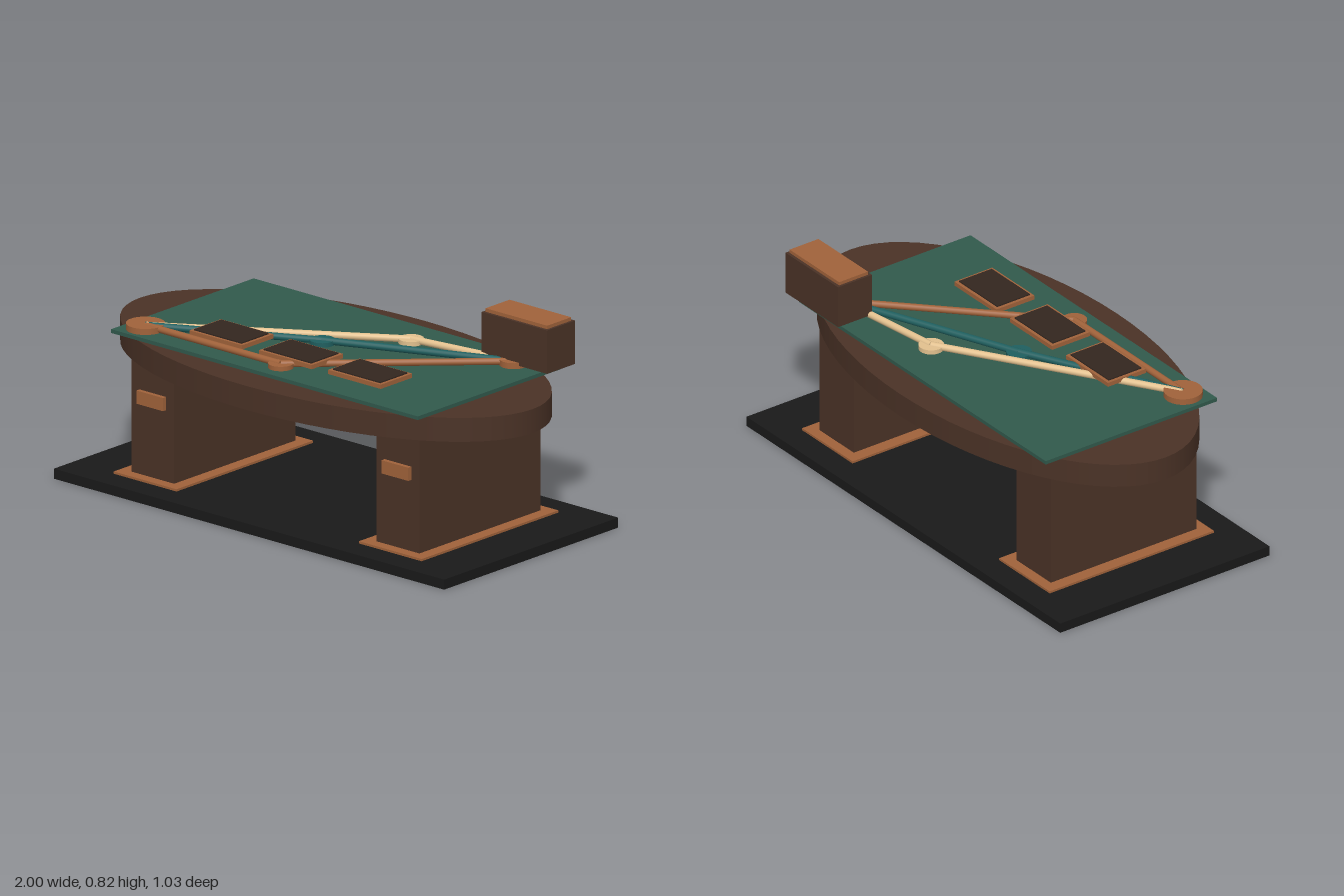
import * as THREE from 'three';

const mat = (color) => new THREE.MeshStandardMaterial({ color });
const walnut = mat(0x4a3226), copper = mat(0xa0623a), black = mat(0x191919);
const felt = mat(0x31594c), teal = mat(0x1f5f5f), cream = mat(0xe2c08e), slate = mat(0x33261f);

export function createModel() {
  const model = new THREE.Group();

  const add = (name, geometry, material, x, y, z) => {
    const mesh = new THREE.Mesh(geometry, material);
    mesh.name = name;
    mesh.position.set(x, y, z);
    model.add(mesh);
    return mesh;
  };
  // Box given by its extents on each axis
  const box = (name, material, x0, x1, y0, y1, z0, z1) =>
    add(name, new THREE.BoxGeometry(x1 - x0, y1 - y0, z1 - z0), material,
      (x0 + x1) / 2, (y0 + y1) / 2, (z0 + z1) / 2);
  const disc = (name, material, x, z, radius, height) =>
    add(name, new THREE.CylinderGeometry(radius, radius, height, 32), material, x, 0.624 + height / 2, z);
  // Round rod lying between two points [x, z]
  const rod = (name, material, a, b, radius, y) => {
    const from = new THREE.Vector3(a[0], y, a[1]);
    const to = new THREE.Vector3(b[0], y, b[1]);
    const dir = to.clone().sub(from);
    const mid = from.add(to).multiplyScalar(0.5);
    const mesh = add(name, new THREE.CylinderGeometry(radius, radius, dir.length(), 16), material, mid.x, mid.y, mid.z);
    mesh.quaternion.setFromUnitVectors(new THREE.Vector3(0, 1, 0), dir.normalize());
  };

  // Floor slab and oval tabletop
  box('floorSlab', black, -0.995, 0.995, 0, 0.04, -0.497, 0.497);
  const top = add('tabletop', new THREE.CylinderGeometry(1, 1, 0.096, 64), walnut, 0, 0.552, 0);
  top.scale.z = 0.516;

  // Pedestals with foot trim and front plate
  for (const [side, s] of [['left', 1], ['right', -1]]) {
    const x = s * 0.625;
    box(side + 'Pedestal', walnut, x - 0.109, x + 0.109, 0.002, 0.51, -0.346, 0.346);
    box(side + 'FootTrim', copper, x - 0.16, x + 0.16, -0.0005, 0.049, -0.39, 0.39);
    box(side + 'FrontPlate', copper, x - 0.068, x + 0.068, 0.335, 0.388, 0.34, 0.364);
  }

  // Felt mat on the table
  box('feltMat', felt, -0.784, 0.78, 0.609, 0.624, -0.408, 0.406);

  // Three routes between the shared start and end discs
  const start = [-0.69, 0.315], end = [0.64, -0.298];
  disc('startDisc', copper, ...start, 0.075, 0.024);
  disc('endDisc', copper, ...end, 0.055, 0.024);
  const routes = [
    ['copper', copper, [0, 0.315], 0.0135],
    ['teal', teal, [-0.07, 0], 0.014],
    ['cream', cream, [0.173, -0.235], 0.014],
  ];
  for (const [name, material, mid, radius] of routes) {
    disc(name + 'Disc', material, ...mid, 0.049, 0.018);
    rod(name + 'RodA', material, start, mid, radius, 0.638);
    rod(name + 'RodB', material, mid, end, radius, 0.638);
  }

  // Row of framed cards
  for (const x of [-0.355, 0, 0.352]) {
    box('cardFrame', copper, x - 0.134, x + 0.134, 0.639, 0.656, 0.109, 0.289);
    box('cardFace', slate, x - 0.121, x + 0.121, 0.65, 0.661, 0.122, 0.277);
  }

  // Box with lid at the back corner
  box('cornerBox', walnut, 0.498, 0.832, 0.636, 0.81, -0.434, -0.273);
  box('cornerBoxLid', copper, 0.508, 0.822, 0.805, 0.824, -0.422, -0.285);

  return model;
}
